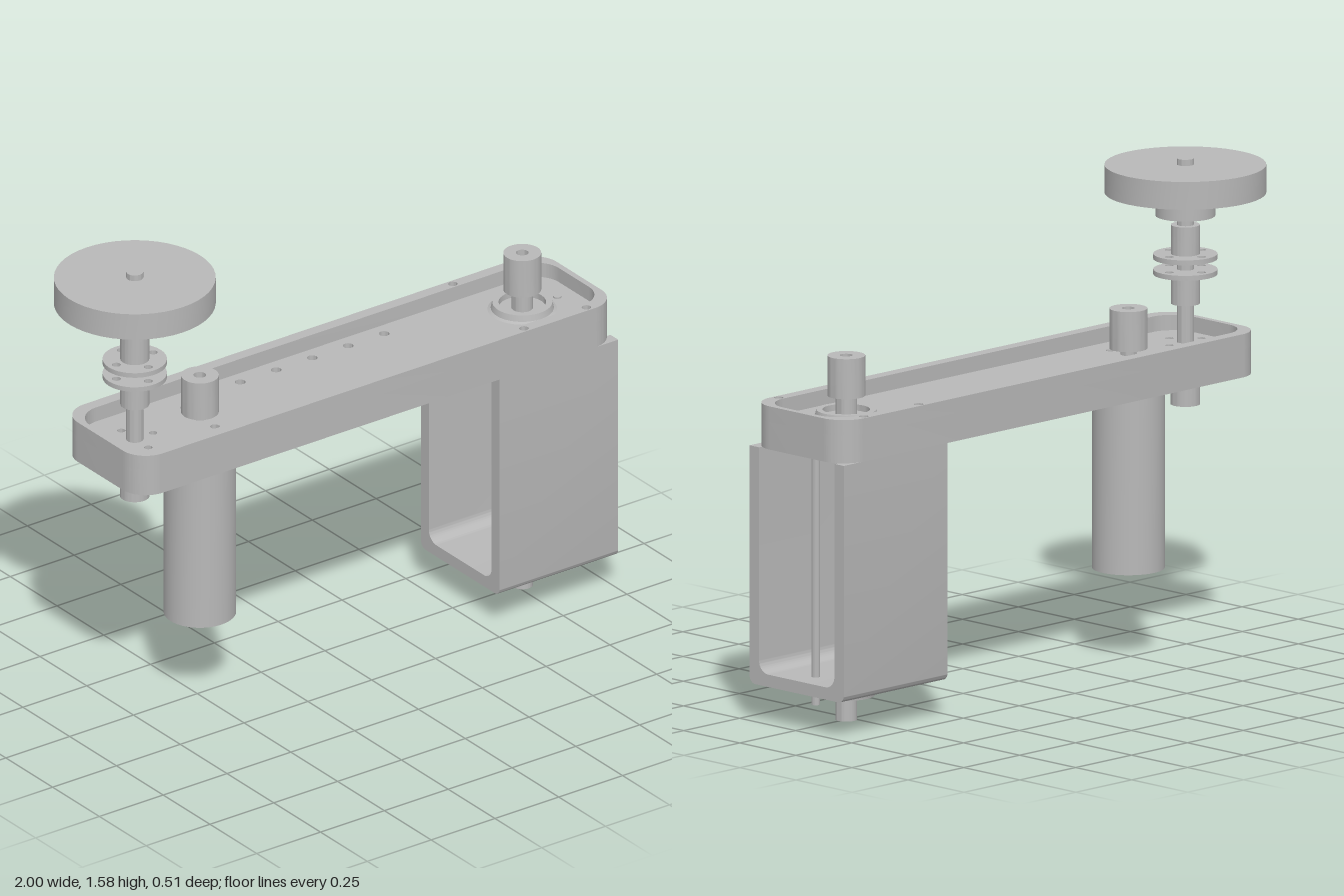
import * as THREE from 'three';
import { toCreasedNormals } from 'three/addons/utils/BufferGeometryUtils.js';

const SPINDLE_X = -0.745, MOTOR_X = -0.49, DRIVE_X = 0.773;

export function createModel() {
  const group = new THREE.Group();
  const grey = new THREE.MeshStandardMaterial({ color: 0xb8b8b8 });

  const add = (name, geometry) => {
    const mesh = new THREE.Mesh(toCreasedNormals(geometry, 0.6), grey);
    mesh.name = name;
    group.add(mesh);
    return mesh;
  };

  // Solid round part between two heights
  const round = (name, x, r, y0, y1) =>
    add(name, new THREE.CylinderGeometry(r, r, y1 - y0, 48).translate(x, (y0 + y1) / 2, 0));

  // Turned part from [radius, height] points, outside going up
  const turned = (name, x, points) =>
    add(name, new THREE.LatheGeometry(points.map(p => new THREE.Vector2(...p)), 48).translate(x, 0, 0));

  // Rounded rectangle with its own bounds
  const roundedRect = (Type, x0, x1, h, r) => {
    const s = new Type();
    s.moveTo(x0 + r, -h);
    s.lineTo(x1 - r, -h);
    s.absarc(x1 - r, -h + r, r, -Math.PI / 2, 0, false);
    s.lineTo(x1, h - r);
    s.absarc(x1 - r, h - r, r, 0, Math.PI / 2, false);
    s.lineTo(x0 + r, h);
    s.absarc(x0 + r, h - r, r, Math.PI / 2, Math.PI, false);
    s.lineTo(x0, -h + r);
    s.absarc(x0 + r, -h + r, r, Math.PI, Math.PI * 1.5, false);
    return s;
  };

  const hole = (x, z, r) => new THREE.Path().absarc(x, -z, r, 0, Math.PI * 2, true);
  const boltCircle = (x, r, size) =>
    [0, 1, 2, 3].map(i => hole(x + r * Math.cos(i * Math.PI / 2), r * Math.sin(i * Math.PI / 2), size));

  // Plan shape raised between two heights
  const plate = (name, shape, y0, y1) =>
    add(name, new THREE.ExtrudeGeometry(shape, { depth: y1 - y0, bevelEnabled: false, curveSegments: 16 })
      .rotateX(-Math.PI / 2).translate(0, y0, 0));

  // Tray floor with its row of holes and bolt holes
  const floor = roundedRect(THREE.Shape, -0.88, 0.995, 0.21, 0.09);
  for (let i = 0; i < 6; i++) floor.holes.push(hole(-0.385 + i * 0.141, -0.12, 0.017));
  floor.holes.push(hole(MOTOR_X, -0.08, 0.015), hole(MOTOR_X, 0.08, 0.015));
  floor.holes.push(...boltCircle(SPINDLE_X, 0.072, 0.013));
  plate('trayFloor', floor, 0.89, 0.98);

  // Raised tray rim with cover screw holes
  const rim = roundedRect(THREE.Shape, -0.88, 0.995, 0.21, 0.09);
  rim.holes.push(roundedRect(THREE.Path, -0.86, 0.975, 0.17, 0.09));
  for (const x of [0.64, 0.885]) for (const z of [-0.19, 0.19]) rim.holes.push(hole(x, z, 0.015));
  plate('trayRim', rim, 0.98, 1.03);

  // U-shaped bracket, open at both ends
  const u = new THREE.Shape();
  const o = 0.21, n = 0.168, ro = 0.025, ri = 0.04;
  u.moveTo(-o, 0.89);
  u.lineTo(-o, 0.12 + ro);
  u.absarc(-o + ro, 0.12 + ro, ro, Math.PI, Math.PI * 1.5, false);
  u.lineTo(o - ro, 0.12);
  u.absarc(o - ro, 0.12 + ro, ro, -Math.PI / 2, 0, false);
  u.lineTo(o, 0.89);
  u.lineTo(n, 0.89);
  u.lineTo(n, 0.16 + ri);
  u.absarc(n - ri, 0.16 + ri, ri, 0, -Math.PI / 2, true);
  u.lineTo(-n + ri, 0.16);
  u.absarc(-n + ri, 0.16 + ri, ri, -Math.PI / 2, -Math.PI, true);
  u.lineTo(-n, 0.89);
  add('bracket', new THREE.ExtrudeGeometry(u, { depth: 0.465, bevelEnabled: false, curveSegments: 10 })
    .rotateY(Math.PI / 2).translate(0.53, 0, 0));

  // Motor, its shaft and pulley with a bore
  const pulley = (name, x, y0, y1) => turned(name, x, [
    [0, y0], [0.06, y0], [0.06, y1], [0.02, y1], [0.02, y1 - 0.02], [0, y1 - 0.02]]);
  round('motor', MOTOR_X, 0.115, 0.29, 0.89);
  round('motorShaft', MOTOR_X, 0.025, 0.97, 1.01);
  pulley('motorPulley', MOTOR_X, 1.0, 1.13);

  // Drive shaft, pulley and bearing housings
  round('driveShaft', DRIVE_X, 0.034, 0, 1.06);
  pulley('drivePulley', DRIVE_X, 1.05, 1.18);
  turned('upperBearingHousing', DRIVE_X, [
    [0.11, 0.98], [0.1, 0.985], [0.095, 1.005], [0.075, 1.005], [0.075, 0.985], [0.03, 0.985]]);
  turned('lowerBearingHousing', DRIVE_X, [
    [0.03, 0.105], [0.065, 0.105], [0.065, 0.08], [0.09, 0.08], [0.092, 0.098], [0.1, 0.112], [0.115, 0.12]]);

  // Thin guide rod beside the drive shaft
  round('guideRod', 0.91, 0.013, 0.07, 0.985);

  // Spindle with turntable disc and hub
  round('spindle', SPINDLE_X, 0.027, 0.78, 1.575);
  round('disc', SPINDLE_X, 0.256, 1.465, 1.555);
  round('discHub', SPINDLE_X, 0.095, 1.39, 1.465);

  // Flanged collars on the spindle
  const flange = (name, y0, y1) => {
    const s = new THREE.Shape().absarc(SPINDLE_X, 0, 0.102, 0, Math.PI * 2, false);
    s.holes.push(...boltCircle(SPINDLE_X, 0.072, 0.014));
    plate(name, s, y0, y1);
  };
  flange('upperFlange', 1.25, 1.266);
  round('upperCollar', SPINDLE_X, 0.046, 1.25, 1.36);
  flange('lowerFlange', 1.2, 1.216);
  round('lowerCollar', SPINDLE_X, 0.046, 1.105, 1.216);
  flange('baseFlange', 0.874, 0.89);
  round('baseCollar', SPINDLE_X, 0.047, 0.779, 0.89);

  return group;
}
